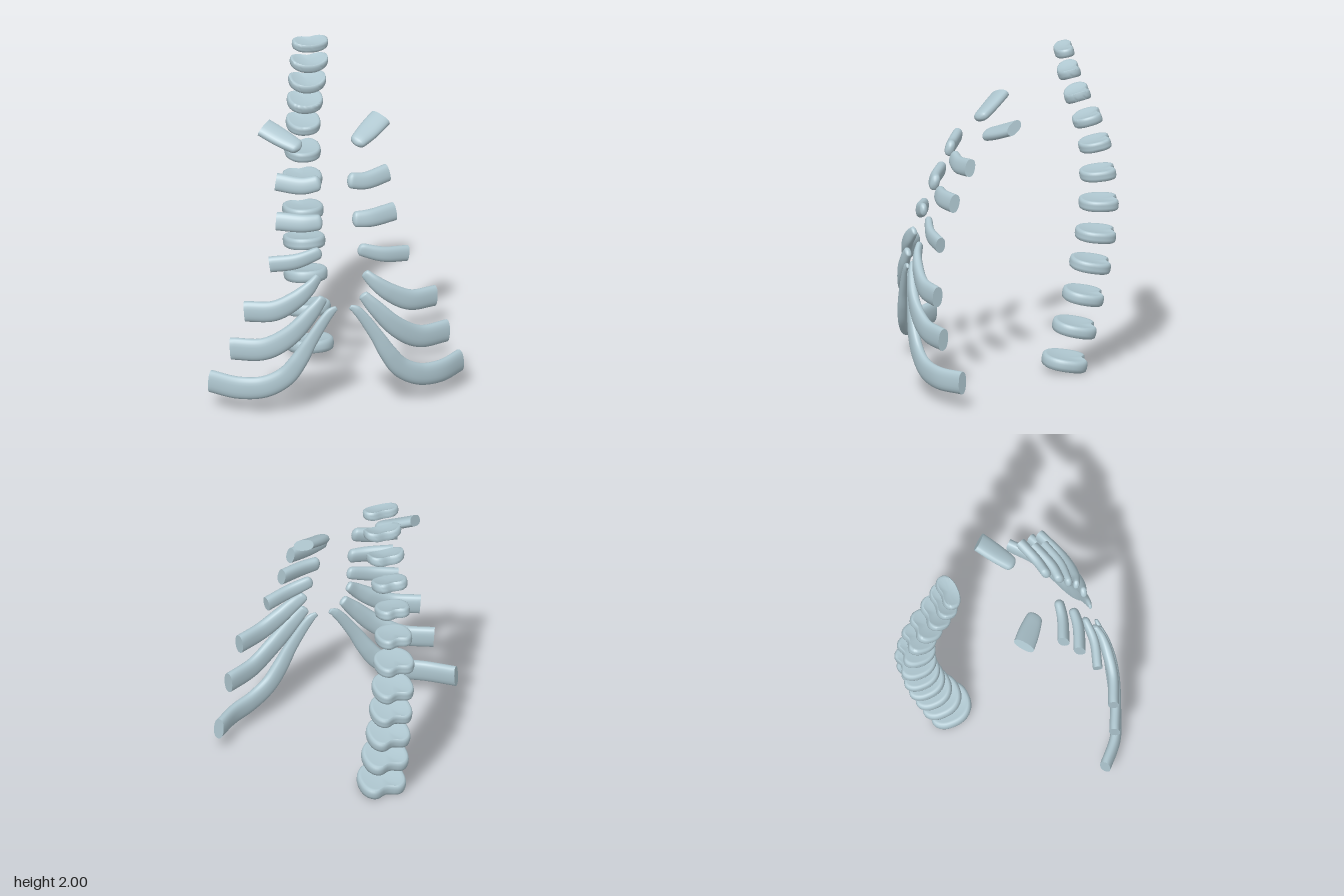
import * as THREE from 'three';
import { mergeVertices, toCreasedNormals } from 'three/addons/utils/BufferGeometryUtils.js';

const cartilage = new THREE.MeshStandardMaterial({ color: 0xaec6cf });
cartilage.name = 'pale blue cartilage';

// Spinal discs, top to bottom: front z, front y, back z, back y, half width
const DISCS = [
  [-0.25, 1.955, -0.37, 1.978, 0.108],
  [-0.27, 1.82, -0.41, 1.852, 0.114],
  [-0.31, 1.672, -0.47, 1.715, 0.112],
  [-0.36, 1.518, -0.54, 1.568, 0.106],
  [-0.395, 1.365, -0.596, 1.407, 0.101],
  [-0.4, 1.195, -0.628, 1.216, 0.106],
  [-0.395, 1.025, -0.644, 1.022, 0.116],
  [-0.374, 0.845, -0.628, 0.819, 0.12],
  [-0.342, 0.67, -0.596, 0.628, 0.123],
  [-0.3, 0.48, -0.554, 0.432, 0.128],
  [-0.241, 0.289, -0.511, 0.235, 0.136],
  [-0.178, 0.08, -0.458, 0.034, 0.141],
];

// Left rib cartilages, top to bottom: half height at the inner and outer end, and the centre line
const RIBS = [
  { from: 0.045, to: 0.066, path: [[0.165, 1.508, 0.178], [0.25, 1.548, 0.11], [0.352, 1.6, 0.028]] },
  { from: 0.046, to: 0.053, path: [[0.08, 1.36, 0.358], [0.19, 1.34, 0.34], [0.335, 1.358, 0.287]] },
  { from: 0.046, to: 0.055, path: [[0.09, 1.145, 0.445], [0.2, 1.14, 0.435], [0.354, 1.148, 0.382]] },
  { from: 0.038, to: 0.048, path: [[0.11, 0.982, 0.508], [0.26, 0.936, 0.512], [0.414, 0.913, 0.472]] },
  { from: 0.028, to: 0.063, path: [
    [0.135, 0.85, 0.56], [0.2, 0.787, 0.583], [0.29, 0.717, 0.587], [0.41, 0.656, 0.57], [0.572, 0.643, 0.508]] },
  { from: 0.03, to: 0.068, path: [
    [0.115, 0.73, 0.6], [0.19, 0.643, 0.613], [0.32, 0.507, 0.609], [0.465, 0.417, 0.565], [0.65, 0.403, 0.483]] },
  { from: 0.014, to: 0.068, path: [
    [0.04, 0.66, 0.612], [0.08, 0.635, 0.615], [0.2, 0.463, 0.62], [0.265, 0.352, 0.615],
    [0.345, 0.246, 0.6], [0.465, 0.177, 0.567], [0.61, 0.158, 0.502], [0.75, 0.164, 0.382]] },
];

// Kidney-shaped pad: a lathe whose round outline is squeezed and notched at the back
function discGeometry(halfWidth, halfDepth, h, curl) {
  const top = [[1, 0.15], [0.97, 0.4], [0.9, 0.5], [0.8, 0.47], [0.5, 0.38], [0, 0.34]];
  const bottom = top.map(([r, y]) => [r, -y]).reverse();
  let g = new THREE.LatheGeometry([...bottom, ...top].map(([r, y]) => new THREE.Vector2(r, y * h)), 48);
  g.deleteAttribute('uv');
  g.deleteAttribute('normal');
  g = mergeVertices(g, 1e-5);
  const p = g.attributes.position;
  for (let i = 0; i < p.count; i++) {
    const r = Math.hypot(p.getX(i), p.getZ(i));
    const s = r ? p.getX(i) / r : 0, c = r ? p.getZ(i) / r : 0;
    const x = Math.sign(s) * Math.abs(s) ** 0.88;
    let z = Math.sign(c) * Math.abs(c) ** (c < 0 ? 0.75 : 0.95);
    if (c < 0) z += 0.3 * Math.exp(-((x / 0.4) ** 2));
    const rx = r * x;
    p.setXYZ(i, halfWidth * rx, p.getY(i) + curl * (rx * rx - 0.3), halfDepth * r * z);
  }
  return toCreasedNormals(g, 0.9);
}

// Oval sweep along a path: rounded inner tip, flat outer cut
function ribGeometry({ from, to, path }, up, side) {
  const N = 24, M = (path.length - 1) * 8;
  const curve = new THREE.CatmullRomCurve3(path.map(([x, y, z]) => new THREE.Vector3(x * side, y, z)));
  const hint = new THREE.Vector3(up[0] * side, up[1], up[2]);
  const pos = [], idx = [];
  const ring = (t, scale) => {
    const c = curve.getPoint(t), d = curve.getTangent(t);
    const u = hint.clone().addScaledVector(d, -hint.dot(d)).normalize();
    const v = d.clone().cross(u);
    const height = from + (to - from) * Math.sin(Math.min(1, t * 1.15) * Math.PI / 2);
    const thickness = Math.min(0.032, height * 0.6);
    for (let j = 0; j < N; j++) {
      const co = Math.cos((j / N) * Math.PI * 2), si = Math.sin((j / N) * Math.PI * 2);
      const q = c.clone()
        .addScaledVector(u, height * scale * Math.sign(co) * Math.abs(co) ** 0.85)
        .addScaledVector(v, thickness * scale * Math.sign(si) * Math.abs(si) ** 0.85);
      pos.push(q.x, q.y, q.z);
    }
    return c;
  };
  // Extra stations close to the tip give it a round nose
  const tipT = from * 0.7 / curve.getLength();
  const ts = [0, 0.06, 0.2, 0.45, 0.7].map(k => k * tipT);
  for (let i = 0; i <= M; i++) if (i / M >= tipT) ts.push(i / M);
  ts.forEach(t => {
    const k = Math.min(1, t / tipT);
    ring(t, Math.max(0.2, Math.sqrt(1 - (1 - k) ** 2)));
  });
  for (let i = 0; i < ts.length - 1; i++) {
    for (let j = 0; j < N; j++) {
      const a = i * N + j, b = i * N + (j + 1) % N;
      idx.push(a, b, a + N, b, b + N, a + N);
    }
  }
  // Caps: the nose shares its ring, the outer cut has its own for a sharp rim
  const nose = pos.length / 3, start = curve.getPoint(0);
  pos.push(start.x, start.y, start.z);
  for (let j = 0; j < N; j++) idx.push(nose, (j + 1) % N, j);
  const cut = pos.length / 3, end = ring(1, 1);
  pos.push(end.x, end.y, end.z);
  for (let j = 0; j < N; j++) idx.push(cut + N, cut + j, cut + (j + 1) % N);
  const g = new THREE.BufferGeometry();
  g.setAttribute('position', new THREE.Float32BufferAttribute(pos, 3));
  g.setIndex(idx);
  g.computeVertexNormals();
  return g;
}

export function createModel() {
  const model = new THREE.Group();
  model.name = 'ribCageCartilage';

  const spine = new THREE.Group();
  spine.name = 'spinalDiscs';
  DISCS.forEach(([zf, yf, zb, yb, w], i) => {
    const depth = Math.hypot(zf - zb, yf - yb);
    // The upper discs curl up at the sides
    const curl = 0.024 * Math.exp(-(((i - 1.5) / 1.4) ** 2));
    const disc = new THREE.Mesh(discGeometry(w, depth / 2, 0.052 + 0.0018 * i, curl), cartilage);
    disc.name = `spinalDisc${i + 1}`;
    disc.position.set(0, (yf + yb) / 2, (zf + zb) / 2);
    disc.rotation.x = Math.atan2(yb - yf, zf - zb);
    spine.add(disc);
  });
  model.add(spine);

  for (const [name, side] of [['left', 1], ['right', -1]]) {
    const group = new THREE.Group();
    group.name = `${name}RibCartilages`;
    RIBS.forEach((shape, i) => {
      // The top pair lies flatter than the rest
      const up = i === 0 ? [-0.69, 0.35, -0.63] : [-0.1, 1, i < 3 ? -0.25 : 0];
      const rib = new THREE.Mesh(ribGeometry(shape, up, side), cartilage);
      rib.name = `${name}RibCartilage${i + 1}`;
      group.add(rib);
    });
    model.add(group);
  }
  return model;
}
